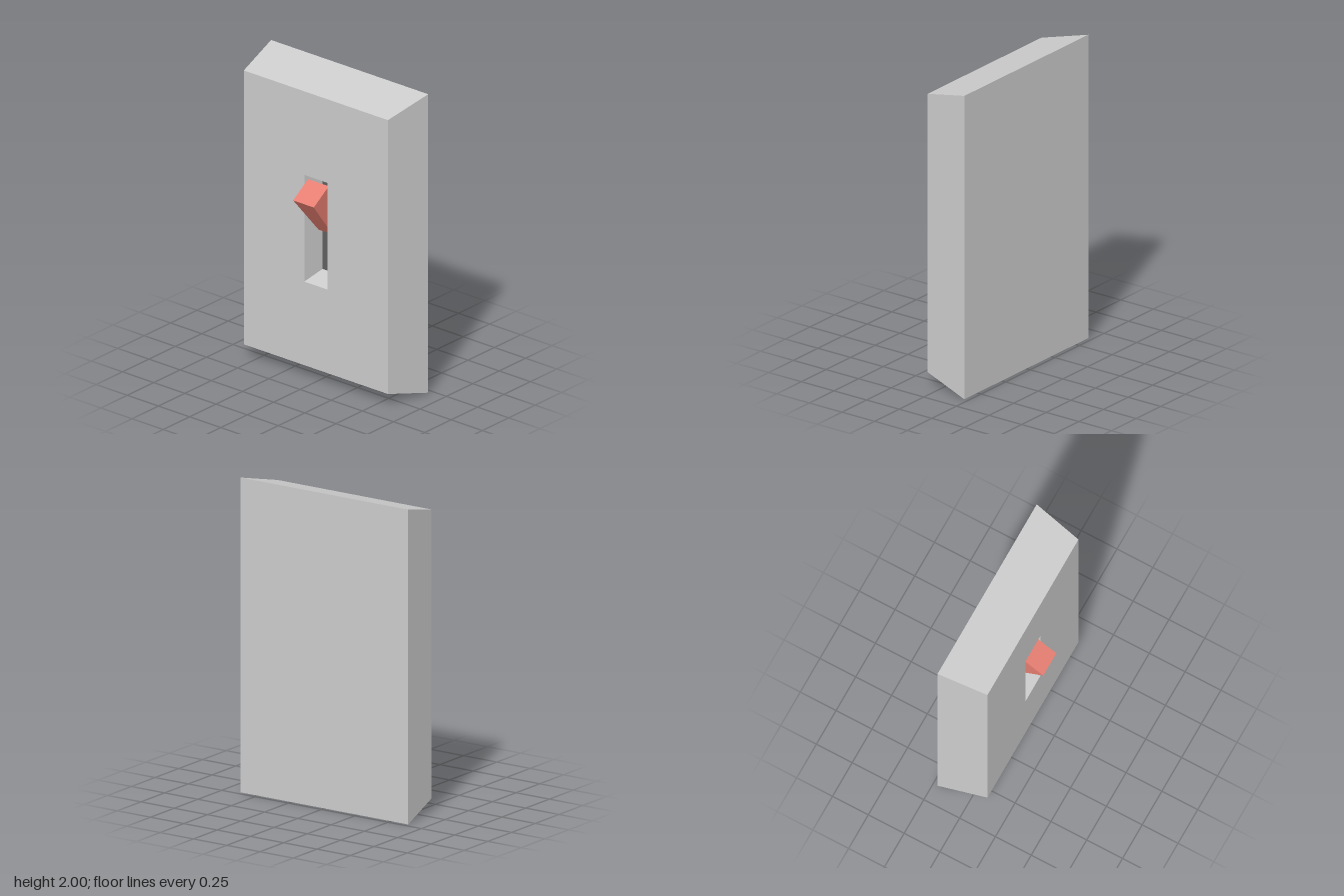
import * as THREE from 'three';

// Rectangular cross-section, counter-clockwise seen from +z
const ring = (halfW, y0, y1, z) => [[-halfW, y0, z], [halfW, y0, z], [halfW, y1, z], [-halfW, y1, z]];

// Skins consecutive four-cornered rings with flat faces, capping either end on request
function skin(rings, capStart, capEnd) {
  const pos = [];
  const quad = (a, b, c, d) => pos.push(...a, ...b, ...c, ...a, ...c, ...d);
  for (let r = 0; r < rings.length - 1; r++) {
    const a = rings[r], b = rings[r + 1];
    for (let i = 0; i < 4; i++) {
      const j = (i + 1) % 4;
      quad(a[i], a[j], b[j], b[i]);
    }
  }
  if (capStart) quad(...[...rings[0]].reverse());
  if (capEnd) quad(...rings[rings.length - 1]);
  const geometry = new THREE.BufferGeometry();
  geometry.setAttribute('position', new THREE.Float32BufferAttribute(pos, 3));
  geometry.computeVertexNormals();
  return geometry;
}

function part(name, geometry, color) {
  const mesh = new THREE.Mesh(geometry, new THREE.MeshStandardMaterial({ color, flatShading: true }));
  mesh.name = name;
  return mesh;
}

export function createModel() {
  const group = new THREE.Group();
  group.name = 'lightSwitch';

  // Bevelled wall plate: back, front border, slot rim, tapering slot walls
  const slotFloor = ring(0.077, 0.682, 1.325, -0.055);
  group.add(part('wallPlate', skin([
    ring(0.63, 0, 2, -0.22),
    ring(0.578, 0.085, 1.92, 0.1),
    ring(0.093, 0.645, 1.36, 0.1),
    slotFloor,
  ], true, false), 0xcccccc));

  // Dark floor of the slot
  group.add(part('slotFloor', skin([slotFloor], false, true), 0x606060));

  // Toggle lever: square bar widening to its tip, tilted upward
  const lever = part('toggleLever', skin([
    ring(0.056, -0.056, 0.056, 0),
    ring(0.083, -0.085, 0.085, 0.33),
  ], true, true), 0xe87f72);
  lever.position.set(0, 1.005, -0.037);
  lever.rotation.x = -0.98;
  group.add(lever);

  return group;
}
